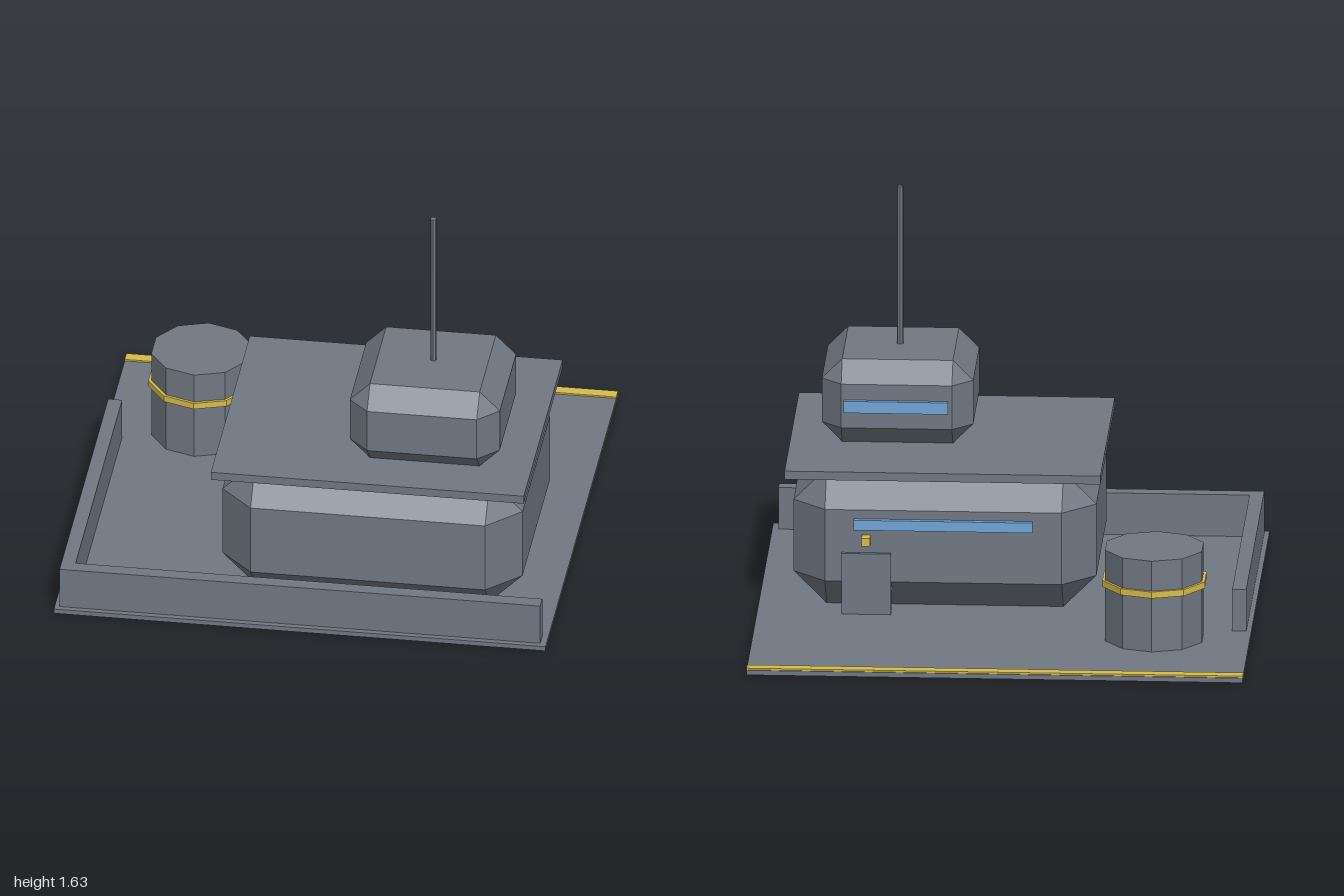
import * as THREE from 'three';
import { ConvexGeometry } from 'three/addons/geometries/ConvexGeometry.js';

const material = (name, color) => {
  const m = new THREE.MeshStandardMaterial({ color, flatShading: true });
  m.name = name;
  return m;
};

export function createModel() {
  const group = new THREE.Group();
  const gray = material('slate gray', 0x717883);
  const yellow = material('warning yellow', 0xd6bd4a);
  const blue = material('window blue', 0x70a5d6);

  const add = (name, geometry, mat) => {
    const mesh = new THREE.Mesh(geometry, mat);
    mesh.name = name;
    group.add(mesh);
    return mesh;
  };

  // Box given by its extents on each axis
  const box = (name, mat, x0, x1, y0, y1, z0, z1) =>
    add(name, new THREE.BoxGeometry(x1 - x0, y1 - y0, z1 - z0), mat)
      .position.set((x0 + x1) / 2, (y0 + y1) / 2, (z0 + z1) / 2);

  // Box with every edge and corner cut by a flat chamfer
  const chamferBox = (name, mat, x0, x1, y0, y1, z0, z1, c) => {
    const half = [(x1 - x0) / 2, (y1 - y0) / 2, (z1 - z0) / 2];
    const points = [];
    for (const sx of [-1, 1]) for (const sy of [-1, 1]) for (const sz of [-1, 1])
      for (let axis = 0; axis < 3; axis++) {
        const [hx, hy, hz] = half.map((h, i) => (i === axis ? h : h - c));
        points.push(new THREE.Vector3(sx * hx, sy * hy, sz * hz));
      }
    add(name, new ConvexGeometry(points), mat)
      .position.set((x0 + x1) / 2, (y0 + y1) / 2, (z0 + z1) / 2);
  };

  // Upright prism
  const cylinder = (name, mat, r, y0, y1, x, z, sides) =>
    add(name, new THREE.CylinderGeometry(r, r, y1 - y0, sides), mat)
      .position.set(x, (y0 + y1) / 2, z);

  // Ground slab, its edge stripe and the two perimeter walls
  box('baseSlab', gray, -1, 1, 0, 0.02, -1, 1);
  box('edgeStripe', yellow, -1, 1, 0.02, 0.027, -0.995, -0.948);
  box('frontWall', gray, -0.98, 0.975, 0.02, 0.195, 0.92, 0.977);
  box('sideWall', gray, -0.98, -0.923, 0.02, 0.195, -0.36, 0.977);

  // Main building with overhanging roof
  chamferBox('mainBuilding', gray, -0.36, 0.86, 0.02, 0.587, -0.2, 0.817, 0.133);
  box('roofSlab', gray, -0.385, 0.888, 0.587, 0.622, -0.23, 0.84);
  box('mainWindow', blue, -0.11, 0.61, 0.375, 0.417, -0.222, -0.19);
  box('door', gray, 0.46, 0.66, 0.02, 0.275, -0.217, -0.19);
  box('doorLamp', yellow, 0.543, 0.577, 0.315, 0.35, -0.248, -0.205);

  // Control tower with mast
  chamferBox('tower', gray, 0.15, 0.76, 0.622, 0.97, 0.105, 0.715, 0.082);
  box('towerWindow', blue, 0.247, 0.667, 0.773, 0.822, 0.085, 0.12);
  cylinder('mast', gray, 0.013, 0.96, 1.632, 0.457, 0.41, 8);

  // Storage tank with painted band
  cylinder('tank', gray, 0.205, 0.02, 0.402, -0.615, -0.46, 10);
  cylinder('tankBand', yellow, 0.217, 0.249, 0.276, -0.615, -0.46, 10);

  return group;
}
